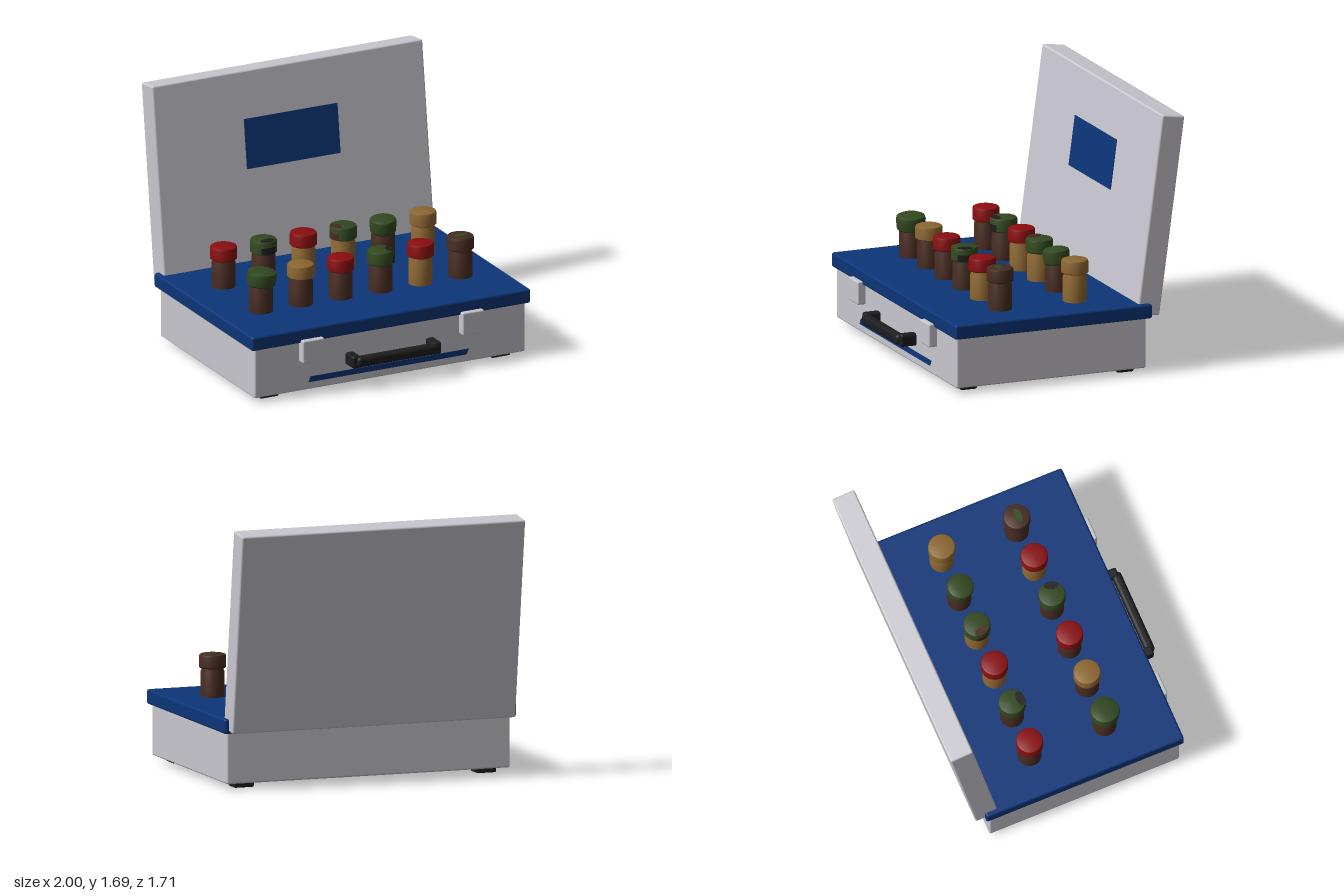
import * as THREE from 'three';
import { toCreasedNormals } from 'three/addons/utils/BufferGeometryUtils.js';
import { RoundedBoxGeometry } from 'three/addons/geometries/RoundedBoxGeometry.js';

function mat(name, color) {
  const m = new THREE.MeshStandardMaterial({ color });
  m.name = name;
  return m;
}

const M = {
  shell: mat('pale grey shell', 0xc9c7cf),
  blue: mat('deep blue', 0x0c3578),
  black: mat('black rubber', 0x1d1d1f),
  brown: mat('brown glass', 0x472b21),
  gold: mat('ochre', 0x8c6630),
  red: mat('dark red', 0x8a0d10),
  green: mat('moss green', 0x32481f),
};

function add(parent, name, geometry, material, x = 0, y = 0, z = 0) {
  const mesh = new THREE.Mesh(geometry, material);
  mesh.name = name;
  mesh.position.set(x, y, z);
  parent.add(mesh);
  return mesh;
}

// Rounded box given by its limits on each axis
function box(parent, name, material, [x0, x1], [y0, y1], [z0, z1], r = 0.012) {
  return add(parent, name, new RoundedBoxGeometry(x1 - x0, y1 - y0, z1 - z0, 3, r), material,
    (x0 + x1) / 2, (y0 + y1) / 2, (z0 + z1) / 2);
}

function lathe(points) {
  const g = new THREE.LatheGeometry(points.map(([r, y]) => new THREE.Vector2(r, y)), 32);
  return toCreasedNormals(g, 0.6);
}

const bodyGeo = lathe([[0, 0], [0.077, 0], [0.077, 0.17], [0.07, 0.185], [0.07, 0.21], [0, 0.21]]);
const capGeo = lathe([[0, 0], [0.08, 0], [0.087, 0.006], [0.087, 0.076], [0.083, 0.086], [0.074, 0.09], [0, 0.09]]);
const moundGeo = lathe([[0, 0], [0.082, 0], [0.089, 0.008], [0.094, 0.07], [0.089, 0.088], [0.07, 0.097], [0.035, 0.101], [0, 0.102]]);
const patchTopGeo = new THREE.CylinderGeometry(0.04, 0.04, 0.004, 24);
const patchSideGeo = new THREE.CylinderGeometry(0.0885, 0.0885, 0.045, 16, 1, true, -0.6, 1.2);

// Vial with a cap; options: mound = [tilt x, tilt z, scale], patch = [material, heading, offset]
function vial(parent, x, z, body, cap, { mound, patch } = {}) {
  const g = new THREE.Group();
  g.name = 'vial';
  g.position.set(x, 0.45, z);
  parent.add(g);
  add(g, 'vialBody', bodyGeo, M[body]);
  const capMesh = add(g, 'vialCap', mound ? moundGeo : capGeo, M[cap], 0, mound ? 0.188 : 0.195, 0);
  if (mound) {
    capMesh.rotation.set(mound[0], 0, mound[1]);
    capMesh.scale.set(mound[2], 1, mound[2]);
  }
  if (patch) {
    const p = new THREE.Group();
    p.name = 'capPatch';
    p.rotation.y = patch[1];
    g.add(p);
    const top = add(p, 'patchTop', patchTopGeo, M[patch[0]], 0, 0.286, patch[2]);
    top.scale.set(1.2, 1, 0.65);
    if (patch[2] > 0.03) add(p, 'patchSide', patchSideGeo, M[patch[0]], 0, 0.222, 0);
  }
}

export function createModel() {
  const model = new THREE.Group();
  model.name = 'sampleCase';

  // Case base and the overhanging tray
  box(model, 'caseBase', M.shell, [-0.97, 0.97], [0.035, 0.385], [-0.585, 0.73]);
  box(model, 'tray', M.blue, [-1, 1], [0.365, 0.46], [-0.618, 0.752], 0.015);

  // Open lid leaning back, with its inner label panel
  const lid = new THREE.Group();
  lid.name = 'lid';
  lid.position.set(0, 1.031, -0.69);
  lid.rotation.x = -0.134;
  model.add(lid);
  add(lid, 'lidShell', new RoundedBoxGeometry(1.94, 1.31, 0.156, 3, 0.012), M.shell);
  add(lid, 'lidPanel', new THREE.BoxGeometry(0.67, 0.328, 0.008), M.blue, 0, 0.176, 0.079);

  // Feet, and latches on both sides
  for (const s of [-1, 1]) {
    for (const z of [0.612, -0.475]) {
      box(model, 'foot', M.black, [s * 0.83 - 0.068, s * 0.83 + 0.068], [0, 0.042], [z - 0.057, z + 0.057]);
    }
    box(model, 'latch', M.shell, [s * 0.573 - 0.078, s * 0.573 + 0.078], [0.235, 0.388], [0.715, 0.785], 0.01);
    // Handle arm
    box(model, 'handleArm', M.black, [s * 0.288 - 0.031, s * 0.288 + 0.031], [0.16, 0.242], [0.715, 0.835], 0.015);
  }

  // Handle grip
  box(model, 'handleGrip', M.black, [-0.29, 0.29], [0.166, 0.236], [0.79, 0.855], 0.025);

  // Slanted stripe on the front
  const stripe = new THREE.Shape([[-0.585, 0.085], [0.545, 0.085], [0.565, 0.122], [-0.57, 0.122]]
    .map(([x, y]) => new THREE.Vector2(x, y)));
  add(model, 'frontStripe', new THREE.ExtrudeGeometry(stripe, { depth: 0.006, bevelEnabled: false }), M.blue, 0, 0, 0.728);

  // Two rows of vials: body, cap, options
  const rows = [
    [0.32, [
      ['brown', 'green', { mound: [0.06, -0.07, 1.02] }],
      ['brown', 'gold'],
      ['brown', 'red'],
      ['brown', 'green', { patch: ['black', 1.25, 0.058] }],
      ['gold', 'red'],
      ['brown', 'brown', { patch: ['green', 0, 0.008] }],
    ]],
    [-0.2, [
      ['brown', 'red'],
      ['brown', 'green', { patch: ['black', 0, 0.055] }],
      ['gold', 'red'],
      ['gold', 'green', { patch: ['brown', -1.4, 0.058] }],
      ['brown', 'green', { mound: [0.08, 0.06, 0.93] }],
      ['gold', 'gold'],
    ]],
  ];
  for (const [z, vials] of rows) {
    vials.forEach(([body, cap, options], i) => vial(model, (i - 2.5) * 0.286, z, body, cap, options));
  }
  return model;
}
